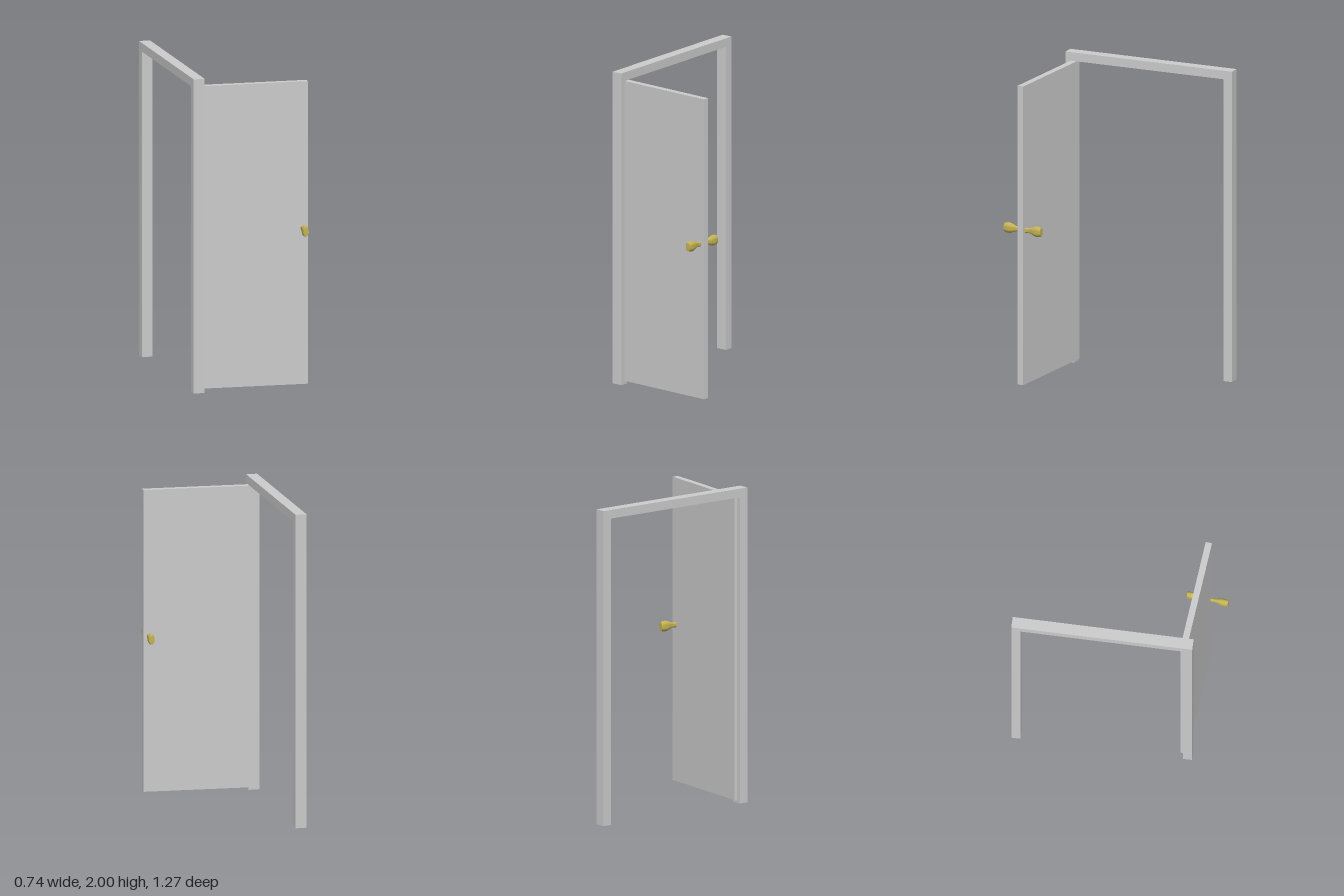
import * as THREE from 'three';
import { toCreasedNormals } from 'three/addons/utils/BufferGeometryUtils.js';

const grey = new THREE.MeshStandardMaterial({ color: 0xcccccc });
const brass = new THREE.MeshStandardMaterial({ color: 0xc4b454 });

function part(name, geometry, material) {
  const mesh = new THREE.Mesh(geometry, material);
  mesh.name = name;
  return mesh;
}

// Doorway: two posts and a lintel as one outline, drawn in the z-y plane
function makeFrame() {
  const front = 0.497, back = -0.636, post = 0.057, lintel = 0.055, depth = 0.07;
  const outline = new THREE.Shape([
    [back, 0], [back + post, 0], [back + post, 2 - lintel], [front - post, 2 - lintel],
    [front - post, 0], [front, 0], [front, 2], [back, 2],
  ].map(([z, y]) => new THREE.Vector2(z, y)));
  const geometry = new THREE.ExtrudeGeometry(outline, { depth, bevelEnabled: false });
  geometry.rotateY(-Math.PI / 2);
  const frame = part('doorFrame', geometry, grey);
  frame.position.x = -0.30;
  return frame;
}

// Flared oval knob growing out along +z
function makeKnobGeometry() {
  const profile = [
    [0, 0], [0.018, 0], [0.016, 0.012], [0.016, 0.024], [0.020, 0.038],
    [0.027, 0.054], [0.033, 0.070], [0.034, 0.080], [0.032, 0.096], [0.028, 0.110], [0, 0.112],
  ].map(([r, h]) => new THREE.Vector2(r, h));
  const geometry = new THREE.LatheGeometry(profile, 24);
  geometry.scale(0.63, 1, 1);
  geometry.rotateX(Math.PI / 2);
  return toCreasedNormals(geometry, Math.PI / 5);
}

// Door leaf swung open, with a knob on each face
function makeDoor() {
  const width = 0.708, bottom = 0.02, top = 1.945, thickness = 0.04;
  const door = new THREE.Group();
  door.name = 'door';

  const leaf = part('doorLeaf', new THREE.BoxGeometry(width, top - bottom, thickness), grey);
  leaf.position.set(width / 2, (top + bottom) / 2, 0);
  door.add(leaf);

  const knobGeometry = makeKnobGeometry();
  for (const side of [1, -1]) {
    const knob = part(side > 0 ? 'frontKnob' : 'backKnob', knobGeometry, brass);
    knob.position.set(0.674, 1.012, side * thickness / 2);
    if (side < 0) knob.rotation.y = Math.PI;
    door.add(knob);
  }

  // The group origin is the hinge line
  door.position.set(-0.34, 0, 0.439);
  door.rotation.y = -0.0925;
  return door;
}

export function createModel() {
  const model = new THREE.Group();
  model.name = 'openDoor';
  model.add(makeFrame(), makeDoor());
  return model;
}
